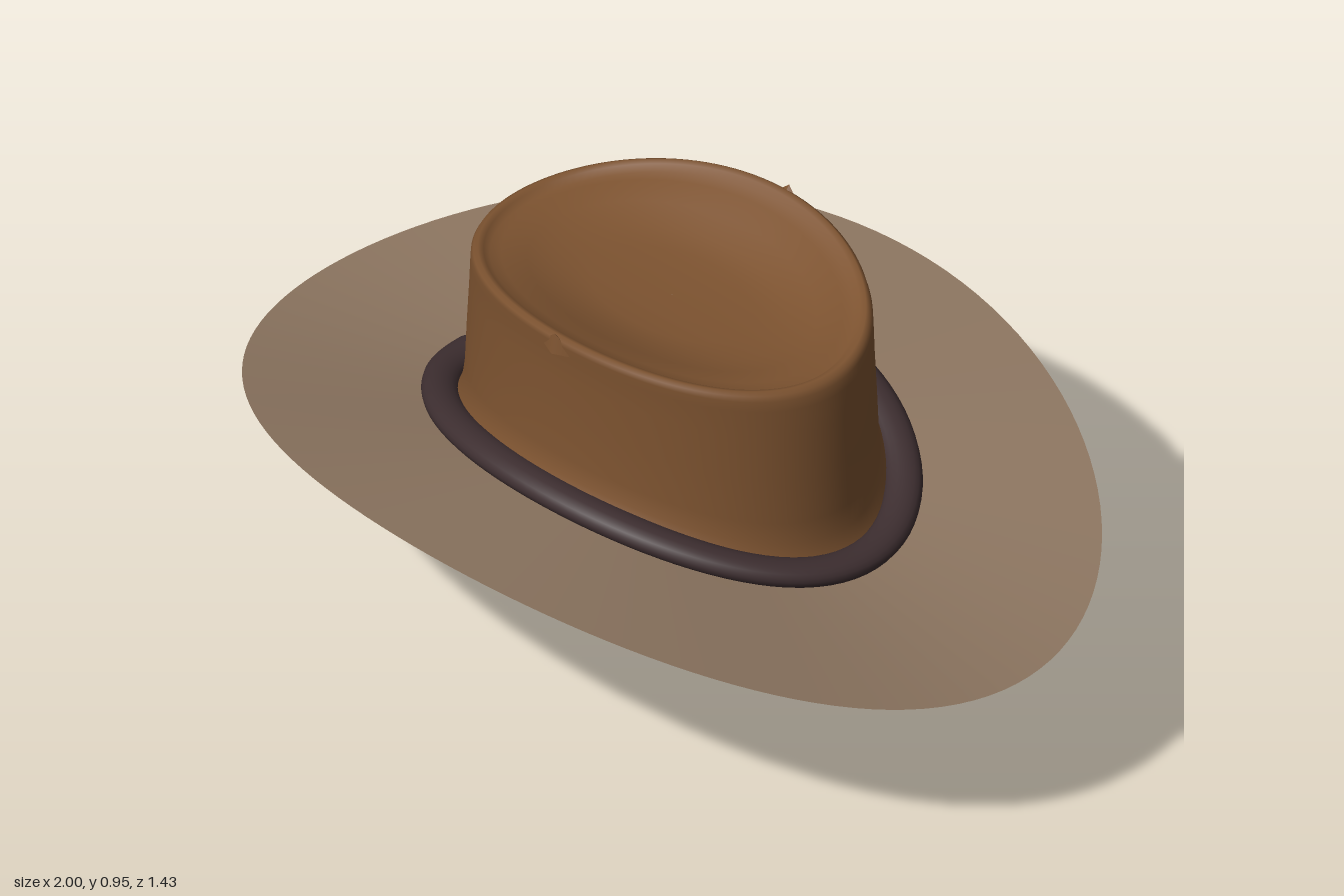
import * as THREE from 'three';

const TAU = Math.PI * 2;

// Smooth grid surface: u runs 0..nu (open), v runs around and joins itself.
function loopSurface(nu, nv, point) {
  const pos = [], index = [];
  for (let i = 0; i <= nu; i++)
    for (let j = 0; j < nv; j++) pos.push(...point(i, (j / nv) * TAU));
  for (let i = 0; i < nu; i++)
    for (let j = 0; j < nv; j++) {
      const k = (j + 1) % nv;
      const a = i * nv + j, b = (i + 1) * nv + j, c = i * nv + k, d = (i + 1) * nv + k;
      index.push(a, b, c, b, d, c);
    }
  const geo = new THREE.BufferGeometry();
  geo.setAttribute('position', new THREE.Float32BufferAttribute(pos, 3));
  geo.setIndex(index);
  geo.computeVertexNormals();
  return geo;
}

// Arched lower edge and saddle-shaped upper edge of the crown
const baseY = (x) => 0.55 - 0.4 * x * x;
const rimY = (c) => 0.945 - 0.056 * c * c;

// Crown rows: half-length, half-width, height blend (0 base, 1 rim, 2 dish centre), offset
const ROWS = [
  [0.515, 0.39, 0, 0.0], [0.498, 0.368, 0, 0.03], [0.486, 0.354, 0, 0.06],
  [0.481, 0.347, 0.25, 0], [0.476, 0.344, 0.5, 0], [0.469, 0.342, 0.75, 0],
  [0.464, 0.344, 0.9, 0], [0.460, 0.347, 1, -0.018], [0.453, 0.346, 1, -0.006],
  [0.442, 0.338, 1, 0], [0.430, 0.326, 1, -0.004], [0.418, 0.312, 1, -0.016],
  [0.395, 0.288, 1.3, 0], [0.34, 0.235, 1.55, 0], [0.285, 0.18, 1.85, 0],
  [0.2, 0.125, 1.96, 0], [0.1, 0.06, 2, 0], [0.001, 0.001, 2, 0],
];

function crownGeometry(inset) {
  return loopSurface(ROWS.length - 1, 128, (i, t) => {
    const [rx, rz, h, off] = ROWS[i];
    const c = Math.cos(t), s = Math.sin(t);
    // narrow seam pinch at one end of the wall
    const pinch = h < 1 ? 0.022 * Math.exp(-(((t - Math.PI) / 0.07) ** 2)) * (1 - h) : 0;
    const x = Math.max(rx - inset - pinch, 0.001) * c;
    const z = Math.max(rz - inset, 0.001) * s;
    const top = rimY(c), low = baseY(rx * c);
    const y = h <= 1 ? low + (top - low) * h : top + (0.862 - top) * (h - 1);
    return [x, y + off - (h >= 1 ? inset : 0), z];
  });
}

function brimGeometry() {
  const n = 14;
  return loopSurface(n, 128, (i, t) => {
    const k = 1 - i / n, c = Math.cos(t), s = Math.sin(t);
    const inner = baseY(0.49 * c), outer = 0.585 - 0.185 * c * c;
    return [(0.49 + 0.51 * k) * c, inner + (outer - inner) * k, (0.365 + 0.352 * k) * s];
  });
}

// Padded band with tapered ends that meet at the seam
function bandGeometry() {
  const n = 140, gap = 0.018;
  return loopSurface(n, 20, (i, phi) => {
    const e = 1 - Math.cos((i / n) * Math.PI); // finer steps toward the ends
    const t = -Math.PI + gap + (e / 2) * (TAU - 2 * gap);
    const end = Math.min(e / 2, 1 - e / 2) * TAU;
    const taper = Math.max(0.001, Math.sqrt(1 - (1 - Math.min(1, end / 0.09)) ** 2));
    const c = Math.cos(t), s = Math.sin(t);
    const out = 0.04 * taper * Math.cos(phi), up = -0.028 * taper * Math.sin(phi);
    const pull = 0.02 * Math.exp(-((end / 0.25) ** 2));
    const x = (0.543 - pull + out) * c;
    return [x, 0.575 - 0.34 * (0.543 * c) ** 2 + up, (0.379 + out) * s];
  });
}

export function createModel() {
  const hat = new THREE.Group();
  hat.name = 'hat';

  const mat = (name, color, side = THREE.FrontSide) => {
    const m = new THREE.MeshStandardMaterial({ color, side });
    m.name = name;
    return m;
  };
  const crownBrown = mat('crownBrown', 0x7d5330);
  const feltTan = mat('feltTan', 0x8b745f, THREE.DoubleSide);
  const bandDark = mat('bandDark', 0x3d2e30);
  const cordGrey = mat('cordGrey', 0xb8b8b8);

  const add = (name, geo, material) => {
    const mesh = new THREE.Mesh(geo, material);
    mesh.name = name;
    hat.add(mesh);
    return mesh;
  };

  add('crown', crownGeometry(0), crownBrown);
  add('lining', crownGeometry(0.014), feltTan);
  add('brim', brimGeometry(), feltTan);
  add('band', bandGeometry(), bandDark);

  // Small pinched folds on the crown rim
  for (const side of [1, -1]) {
    const fold = new THREE.ConeGeometry(0.05, 0.045, 4);
    fold.scale(1, 1, 0.45);
    const p = fold.attributes.position;
    for (let i = 0; i < p.count; i++)
      if (p.getY(i) > 0) p.setZ(i, side * 0.012);
    fold.computeVertexNormals();
    add('rimFold', fold, crownBrown).position.set(0, 0.93, side * 0.337);
  }

  // Chin cord hanging from both long sides
  const path = [
    [0, 0.56, 0.335], [-0.012, 0.42, 0.262], [-0.02, 0.2, 0.148], [-0.008, 0.04, 0.062],
    [0.01, 0.009, 0.025], [0.028, 0.04, -0.02], [0.043, 0.2, -0.124], [0.03, 0.42, -0.256],
    [0, 0.56, -0.335],
  ].map((q) => new THREE.Vector3(...q));
  add('chinCord', new THREE.TubeGeometry(new THREE.CatmullRomCurve3(path), 80, 0.008, 8), cordGrey);

  return hat;
}
